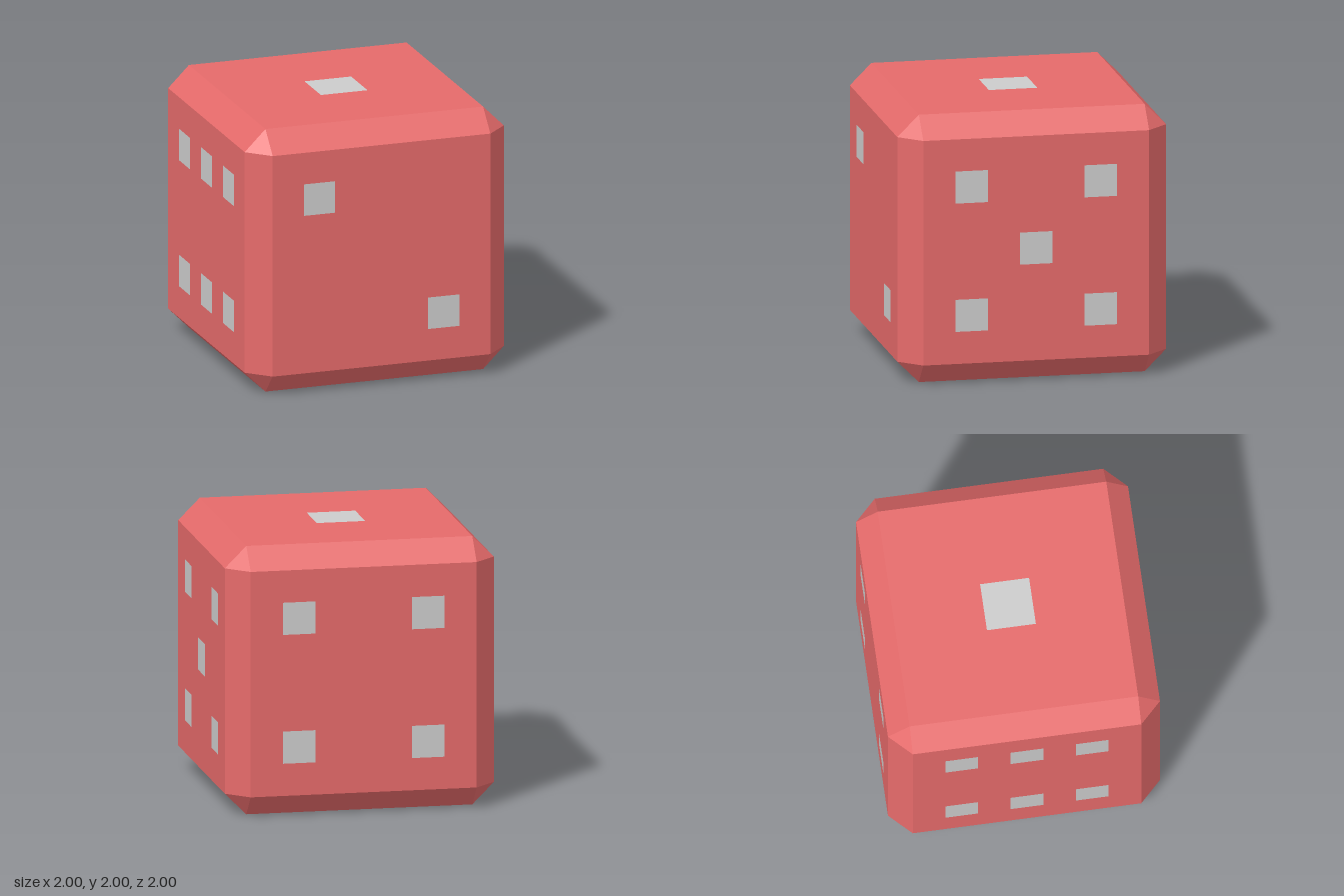
import * as THREE from 'three';

const INNER = 0.84; // half size of a flat face; the bevels reach out to 1
const P = 0.48;     // pip offset from the face centre
const { PI } = Math;

const red = new THREE.MeshStandardMaterial({ color: 0xe56a6a, flatShading: true });
const grey = new THREE.MeshStandardMaterial({ color: 0xcccccc, flatShading: true });

const diagonal = [[-P, P], [P, -P]];
const corners = [...diagonal, [P, P], [-P, -P]];
const centre = [0, 0];

// name, rotation x, rotation y, pip centres, pip size
const FACES = [
  ['front', 0, 0, diagonal, 0.24],
  ['right', 0, PI / 2, [...corners, centre], 0.24],
  ['back', 0, PI, corners, 0.24],
  ['left', 0, -PI / 2, [...corners, [0, P], [0, -P]], 0.24],
  ['top', -PI / 2, 0, [centre], 0.36],
  ['bottom', PI / 2, 0, [...diagonal, centre], 0.24],
];

function square(PathType, x, y, h) {
  return new PathType([[-h, -h], [h, -h], [h, h], [-h, h]]
    .map(([u, v]) => new THREE.Vector2(x + u, y + v)));
}

// One flat face with square openings, each filled by a flush pip
function makeFace(name, rx, ry, pips, size) {
  const face = new THREE.Group();
  face.name = `${name}Face`;
  const shape = square(THREE.Shape, 0, 0, INNER);
  for (const [x, y] of pips) shape.holes.push(square(THREE.Path, x, y, size / 2));
  const panel = new THREE.Mesh(new THREE.ShapeGeometry(shape), red);
  panel.name = `${name}Panel`;
  panel.position.z = 1;
  face.add(panel);
  pips.forEach(([x, y], i) => {
    const pip = new THREE.Mesh(new THREE.PlaneGeometry(size, size), grey);
    pip.name = `${name}Pip${i + 1}`;
    pip.position.set(x, y, 1);
    face.add(pip);
  });
  face.rotation.set(rx, ry, 0);
  return face;
}

// Twelve edge bevels and eight corner triangles
function makeBevels() {
  const positions = [];
  const vertex = (axis, signs) =>
    new THREE.Vector3(...signs.map((s, i) => s * (i === axis ? 1 : INNER)));
  const triangle = (a, b, c) => {
    const normal = b.clone().sub(a).cross(c.clone().sub(a));
    const order = normal.dot(a) > 0 ? [a, b, c] : [a, c, b];
    for (const p of order) positions.push(p.x, p.y, p.z);
  };
  for (let along = 0; along < 3; along++) {
    const a = (along + 1) % 3, b = (along + 2) % 3;
    for (const sa of [-1, 1]) for (const sb of [-1, 1]) {
      const at = (axis, end) => {
        const signs = [0, 0, 0];
        signs[along] = end;
        signs[a] = sa;
        signs[b] = sb;
        return vertex(axis, signs);
      };
      triangle(at(a, -1), at(b, -1), at(b, 1));
      triangle(at(a, -1), at(b, 1), at(a, 1));
    }
  }
  for (const x of [-1, 1]) for (const y of [-1, 1]) for (const z of [-1, 1]) {
    triangle(...[0, 1, 2].map((axis) => vertex(axis, [x, y, z])));
  }
  const geometry = new THREE.BufferGeometry();
  geometry.setAttribute('position', new THREE.Float32BufferAttribute(positions, 3));
  geometry.computeVertexNormals();
  const bevels = new THREE.Mesh(geometry, red);
  bevels.name = 'bevels';
  return bevels;
}

export function createModel() {
  const die = new THREE.Group();
  die.name = 'die';
  die.add(makeBevels(), ...FACES.map((f) => makeFace(...f)));
  die.position.y = 1;
  const model = new THREE.Group();
  model.name = 'model';
  model.add(die);
  return model;
}
